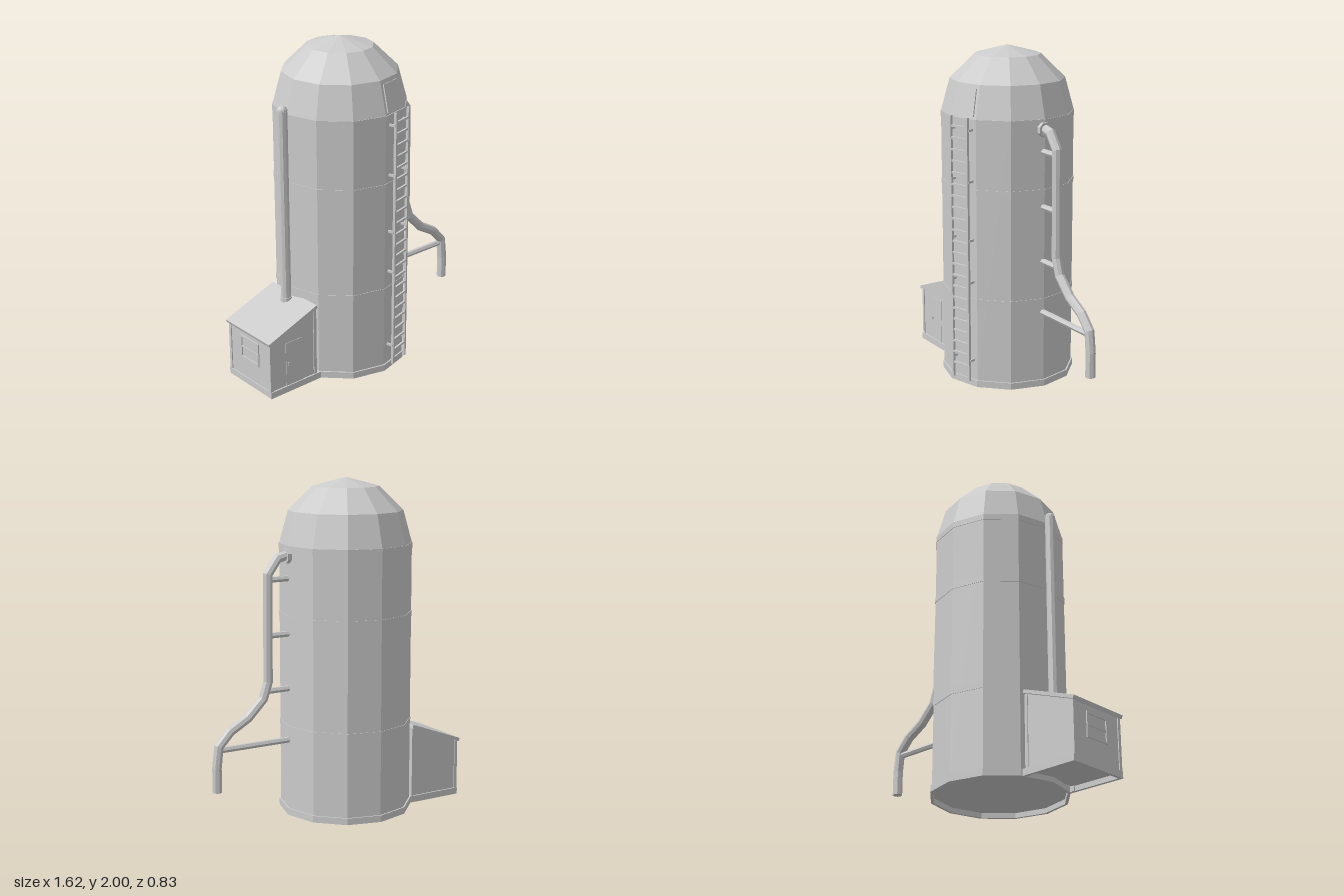
import * as THREE from 'three';

const mat = new THREE.MeshStandardMaterial({ color: 0xcccccc, flatShading: true });

function add(parent, name, geo, x = 0, y = 0, z = 0) {
  const m = new THREE.Mesh(geo, mat);
  m.name = name;
  m.position.set(x, y, z);
  parent.add(m);
  return m;
}
const box = (w, h, d) => new THREE.BoxGeometry(w, h, d);
const cyl = (r, h, n) => new THREE.CylinderGeometry(r, r, h, n);

function group(parent, name, x = 0, y = 0, z = 0) {
  const g = new THREE.Group();
  g.name = name;
  g.position.set(x, y, z);
  parent.add(g);
  return g;
}

// Straight-segment path with averaged directions at the corners
class Polyline extends THREE.Curve {
  constructor(pts) {
    super();
    this.pts = pts.map(([x, y]) => new THREE.Vector3(x, y, 0));
  }
  getPointAt(t) {
    const n = this.pts.length - 1, i = Math.min(Math.floor(t * n + 1e-6), n - 1);
    return this.pts[i].clone().lerp(this.pts[i + 1], t * n - i);
  }
  getTangentAt(t) {
    const n = this.pts.length - 1, k = Math.round(t * n);
    const dir = i => this.pts[i + 1].clone().sub(this.pts[i]).normalize();
    return dir(Math.max(k - 1, 0)).add(dir(Math.min(k, n - 1))).normalize();
  }
}

// Prism from a front profile, centred in z
function prism(points, depth) {
  const shape = new THREE.Shape(points.map(p => new THREE.Vector2(...p)));
  return new THREE.ExtrudeGeometry(shape, { depth, bevelEnabled: false }).translate(0, 0, -depth / 2);
}

// Hollow twelve-sided ring standing on y = 0
function ring(outer, inner, height) {
  const corners = r => Array.from({ length: 12 }, (_, i) =>
    new THREE.Vector2(r * Math.cos(i * Math.PI / 6), r * Math.sin(i * Math.PI / 6)));
  const shape = new THREE.Shape(corners(outer));
  shape.holes.push(new THREE.Path(corners(inner)));
  return new THREE.ExtrudeGeometry(shape, { depth: height, bevelEnabled: false }).rotateX(-Math.PI / 2);
}

function buildTower(root) {
  const R = 0.393;
  const tower = group(root, 'tower', -0.0875, 0, -0.015);
  add(tower, 'towerBody', cyl(R, 1.585, 12), 0, 0.8225, 0);
  add(tower, 'baseRing', ring(0.402, 0.385, 0.04));
  for (const y of [0.53, 1.19, 1.598]) add(tower, 'band', cyl(R + 0.003, 0.036, 12), 0, y, 0);
  const dome = add(tower, 'dome', new THREE.SphereGeometry(R, 12, 3, 0, Math.PI * 2, 0, Math.PI / 2), 0, 1.615, 0);
  dome.scale.y = 0.385 / R;

  // Ladder and hatch sit on the facet just beside the front corner
  const facet = group(tower, 'ladderFacet');
  facet.rotation.y = Math.PI / 12;
  const ladder = group(facet, 'ladder', 0.005, 0, 0.418);
  for (const s of [-1, 1]) {
    add(ladder, 'ladderRail', box(0.014, 1.59, 0.016), s * 0.065, 0.835, 0);
    for (const y of [0.165, 0.65, 0.905, 1.255, 1.555])
      add(ladder, 'ladderStandoff', box(0.01, 0.014, 0.045), s * 0.07, y, -0.022);
  }
  for (let i = 0; i < 22; i++)
    add(ladder, 'ladderRung', box(0.13, 0.012, 0.012), 0, 0.13 + i * 0.0686, 0);
  const hatchShape = [[-0.084, -0.08], [0.084, -0.08], [0.07, 0.08], [-0.07, 0.08]];
  const hatch = add(facet, 'hatch', prism(hatchShape, 0.034), 0, 1.704, 0.346);
  hatch.rotation.x = -Math.PI / 12;
}

function buildChute(root) {
  const chute = group(root, 'chute', 0, 0, -0.009);
  const path = new Polyline([[0.3, 1.565], [0.37, 1.548], [0.434, 1.46], [0.44, 0.83], [0.473, 0.732],
    [0.575, 0.63], [0.69, 0.565], [0.765, 0.485], [0.78, 0.36], [0.78, 0.215]]);
  add(chute, 'chutePipe', new THREE.TubeGeometry(path, path.pts.length - 1, 0.029, 8));
  add(chute, 'chuteEnd', new THREE.CircleGeometry(0.029, 8).rotateX(Math.PI / 2), 0.78, 0.215, 0);
  const flange = cyl(0.045, 0.024, 8).rotateY(Math.PI / 8).rotateZ(Math.PI / 2);
  add(chute, 'chuteFlange', flange, 0.311, 1.558, 0);
  // Support arms from the tower wall
  for (const [y, end] of [[1.428, 0.42], [1.102, 0.425], [0.775, 0.435], [0.463, 0.76]])
    add(chute, 'chuteArm', cyl(0.018, end - 0.29, 6).rotateZ(Math.PI / 2), (end + 0.29) / 2, y, 0);
}

function buildShed(root) {
  const shed = group(root, 'shed', 0, 0, -0.007);
  const xl = -0.792, xr = -0.455, D = 0.385;
  const roofY = x => 0.345 + (x + 0.81) * 0.375;
  add(shed, 'shedWalls', prism([[xl, 0.03], [xr, 0.03], [xr, roofY(xr)], [xl, roofY(xl)]], D));
  const roof = [[-0.803, 0.342], [-0.45, 0.475], [-0.455, 0.495], [-0.811, 0.361]];
  add(shed, 'shedRoof', prism(roof, 0.413));

  // Open plinth strips around three sides
  add(shed, 'plinthOuter', box(0.018, 0.04, 0.405), -0.789, 0.02, 0);
  for (const s of [-1, 1]) add(shed, 'plinthSide', box(0.378, 0.04, 0.018), -0.609, 0.02, s * 0.1935);

  // Corner posts
  for (const s of [-1, 1])
    for (const x of [xl + 0.004, xr - 0.008]) {
      const h = roofY(x) - 0.005;
      add(shed, 'cornerPost', box(0.02, h, 0.02), x, h / 2, s * (D / 2 - 0.005));
    }

  // Door on the front wall
  const door = group(shed, 'door', -0.62, 0, D / 2);
  add(door, 'doorPanel', box(0.12, 0.28, 0.006), 0, 0.18, 0);
  add(door, 'doorHandle', box(0.008, 0.02, 0.012), -0.045, 0.18, 0.003);

  // Framed window on the outer wall
  const win = group(shed, 'window', xl, 0.235, 0);
  for (const s of [-1, 1]) {
    add(win, 'windowFrameSide', box(0.014, 0.15, 0.014), 0, 0, s * 0.08);
    add(win, 'windowFrameRail', box(0.014, 0.014, 0.174), 0, s * 0.068, 0);
  }
  add(win, 'windowBar', box(0.01, 0.01, 0.16));

  // Vent stack rising from the shed roof
  const vent = group(root, 'ventStack', -0.508, 0, -0.02);
  add(vent, 'ventPipe', cyl(0.031, 1.2, 10), 0, 1.04, 0);
  add(vent, 'ventCollar', cyl(0.035, 0.03, 10), 0, 0.475, 0);
  add(vent, 'ventCap', new THREE.SphereGeometry(0.031, 10, 4, 0, Math.PI * 2, 0, Math.PI / 2), 0, 1.64, 0);
}

export function createModel() {
  const root = new THREE.Group();
  root.name = 'silo';
  buildTower(root);
  buildChute(root);
  buildShed(root);
  return root;
}
